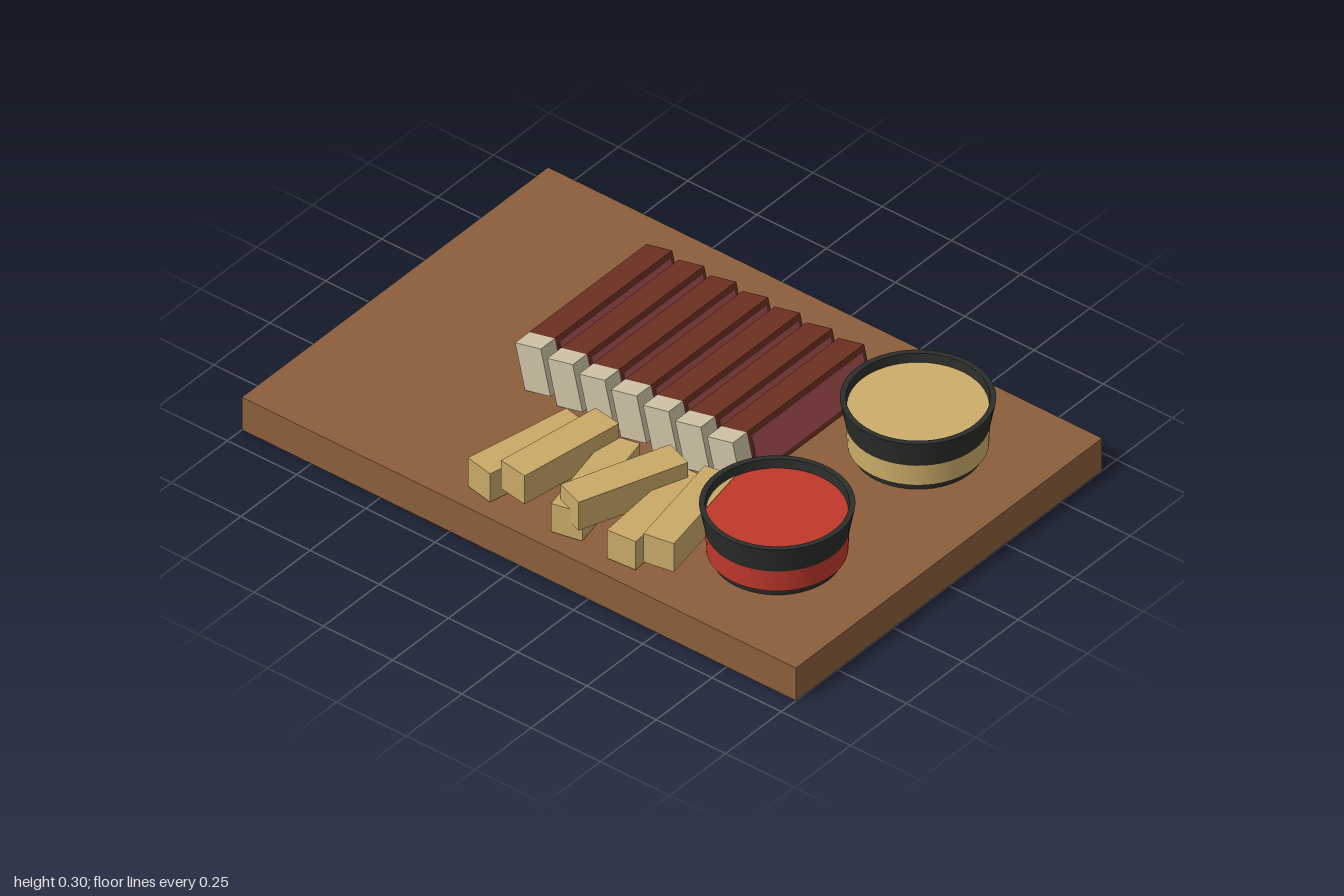
import * as THREE from 'three';
import { toCreasedNormals } from 'three/addons/utils/BufferGeometryUtils.js';

const mat = (name, color) => {
  const m = new THREE.MeshStandardMaterial({ color });
  m.name = name;
  return m;
};

export function createModel() {
  const wood = mat('wood', 0x8b5e3c);
  const crust = mat('crust', 0x6b3020);
  const pink = mat('pinkMeat', 0xa9504f);
  const fat = mat('fat', 0xcdc1a3);
  const potato = mat('potato', 0xc9a968);
  const mustard = mat('mustard', 0xcdae6a);
  const ketchup = mat('ketchup', 0xc0392b);
  const ceramic = mat('darkCeramic', 0x2c2e2a);

  const model = new THREE.Group();
  model.name = 'servingBoard';

  const add = (parent, name, geometry, material, x = 0, y = 0, z = 0) => {
    const mesh = new THREE.Mesh(geometry, material);
    mesh.name = name;
    mesh.position.set(x, y, z);
    parent.add(mesh);
    return mesh;
  };

  // Board
  const boardTop = 0.115;
  add(model, 'board', new THREE.BoxGeometry(2, boardTop, 1.37), wood, 0, boardTop / 2, 0);

  // Seven leaning meat slices: crust, pink cut faces, strip of fat at the front
  const crustGeo = new THREE.BoxGeometry(0.095, 0.155, 0.525);
  const pinkGeo = new THREE.BoxGeometry(0.099, 0.12, 0.495);
  const fatGeo = new THREE.BoxGeometry(0.095, 0.155, 0.063);
  for (let i = 0; i < 7; i++) {
    const slice = new THREE.Group();
    slice.name = 'meatSlice' + (i + 1);
    slice.position.set(-0.371 + i * 0.1155, 0.204, 0);
    slice.rotation.z = 0.23;
    add(slice, 'crust', crustGeo, crust, 0, 0, -0.1625);
    add(slice, 'cutFaces', pinkGeo, pink, 0, 0, -0.1625);
    add(slice, 'fatStrip', fatGeo, fat, 0, 0, 0.1315);
    model.add(slice);
  }

  // Potato sticks: x, z, turn, raised
  const stickGeo = new THREE.BoxGeometry(0.098, 0.1, 0.36);
  [
    [-0.16, 0.445, -0.2, 0],
    [-0.045, 0.445, -0.15, 1],
    [0.082, 0.443, 0.21, 0],
    [0.187, 0.445, -0.35, 1],
    [0.305, 0.443, 0.08, 0],
    [0.42, 0.443, 0.18, 1],
  ].forEach(([x, z, turn, raised], i) => {
    const y = raised ? 0.222 : 0.17;
    add(model, 'potatoStick' + (i + 1), stickGeo, potato, x, y, z).rotation.y = turn;
  });

  // Dip bowls: flared dark wall, sauce showing as a band outside and a surface inside
  const profile = [[0, 0], [0.185, 0], [0.22, 0.185], [0.203, 0.185], [0.198, 0.13], [0, 0.13]]
    .map(([r, y]) => new THREE.Vector2(r, y));
  const bowlGeo = toCreasedNormals(new THREE.LatheGeometry(profile, 48), 0.5);
  const sauceGeo = new THREE.CylinderGeometry(0.206, 0.2, 0.13, 48);
  [['mustard', mustard, -0.32], ['ketchup', ketchup, 0.31]].forEach(([name, sauce, z]) => {
    const dip = new THREE.Group();
    dip.name = name + 'Dip';
    dip.position.set(0.63, boardTop, z);
    add(dip, 'bowl', bowlGeo, ceramic);
    add(dip, 'sauce', sauceGeo, sauce, 0, 0.09, 0);
    model.add(dip);
  });

  return model;
}
